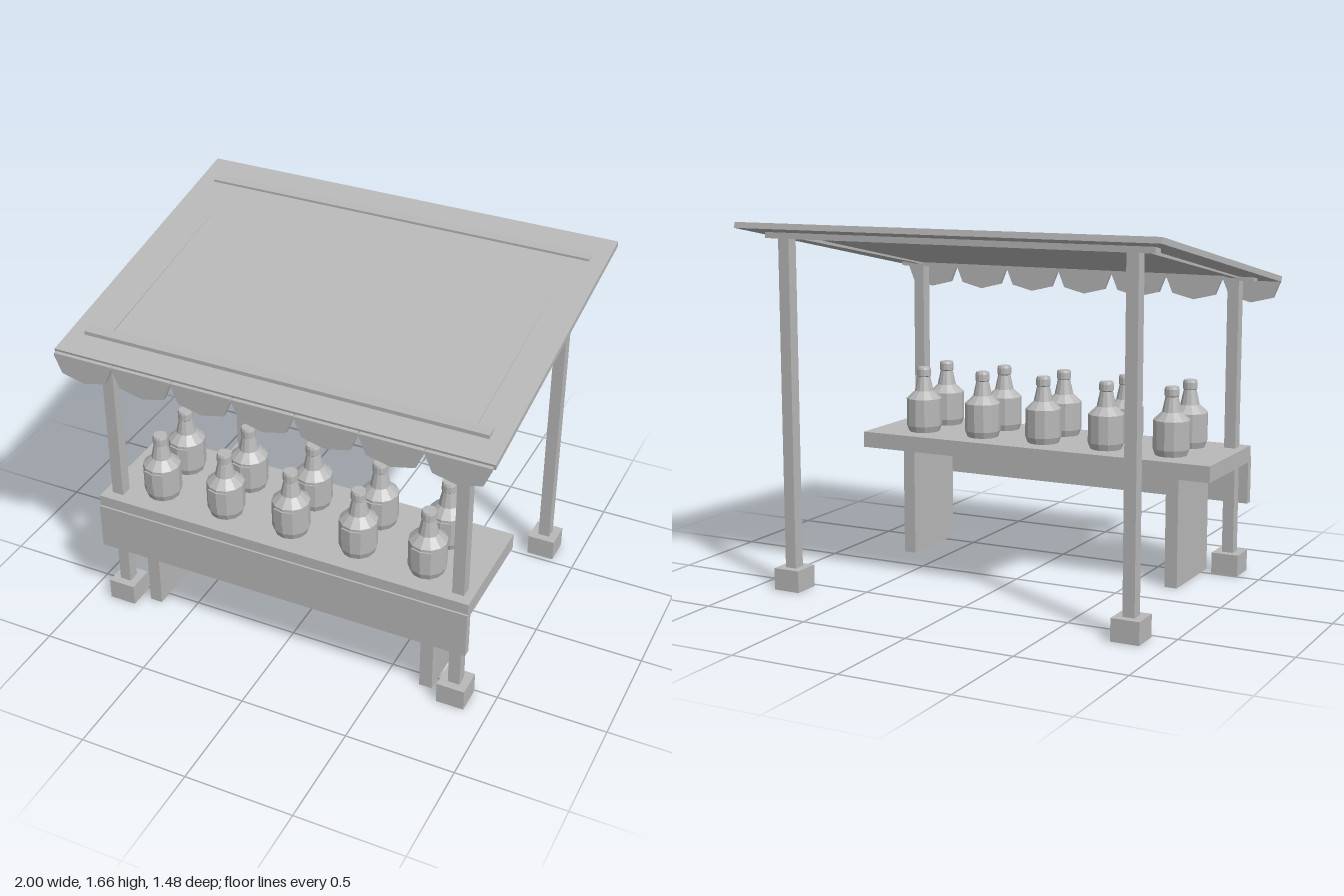
import * as THREE from 'three';

export function createModel() {
  const model = new THREE.Group();
  model.name = 'marketStall';
  const grey = new THREE.MeshStandardMaterial({ color: 0xb8b8b8 });
  grey.name = 'plain grey';
  grey.flatShading = true;

  const add = (name, geometry, parent = model) => {
    const mesh = new THREE.Mesh(geometry, grey);
    mesh.name = name;
    parent.add(mesh);
    return mesh;
  };
  // Box given by its lower and upper limits on each axis
  const box = (name, [x0, x1], [y0, y1], [z0, z1]) => {
    const mesh = add(name, new THREE.BoxGeometry(x1 - x0, y1 - y0, z1 - z0));
    mesh.position.set((x0 + x1) / 2, (y0 + y1) / 2, (z0 + z1) / 2);
    return mesh;
  };

  // Sloping roof panel, low at the front
  const roof = add('roof', new THREE.BoxGeometry(2, 0.026, 1.48));
  roof.position.set(0, 1.509, -0.008);
  roof.rotation.x = 0.185;

  // Posts, feet and cross beams
  const frames = [
    { name: 'front', z: 0.571, y: 1.4 },
    { name: 'back', z: -0.588, y: 1.61 },
  ];
  for (const { name, z, y } of frames) {
    for (const side of [-1, 1]) {
      const x = side * 0.829;
      box(name + 'Post', [x - 0.027, x + 0.027], [0.05, y], [z - 0.028, z + 0.028]);
      box(name + 'Foot', [x - 0.064, x + 0.064], [0, 0.1], [z - 0.065, z + 0.065]);
    }
    box(name + 'Beam', [-0.925, 0.925], [y - 0.027, y + 0.026], [z - 0.028, z + 0.028]);
  }

  // Side rails between the beams
  const [front, back] = frames;
  const run = front.z - back.z, rise = back.y - front.y;
  for (const side of [-1, 1]) {
    const rail = add('sideRail', new THREE.BoxGeometry(0.04, 0.04, Math.hypot(run, rise)));
    rail.position.set(side * 0.834, (front.y + back.y) / 2, (front.z + back.z) / 2);
    rail.rotation.x = Math.atan2(rise, run);
  }

  // Scalloped valance along the front edge
  const scallop = new THREE.Shape([
    [-0.14, 1.375], [-0.14, 1.363], [-0.107, 1.284], [0, 1.258],
    [0.107, 1.284], [0.14, 1.363], [0.14, 1.375],
  ].map(([x, y]) => new THREE.Vector2(x, y)));
  const scallopGeometry = new THREE.ExtrudeGeometry(scallop, { depth: 0.02, bevelEnabled: false });
  for (let i = -3; i <= 3; i++) {
    add('valanceScallop', scallopGeometry).position.set(i * 0.2845, 0, 0.718);
  }

  // Counter
  box('counterTop', [-0.895, 0.895], [0.522, 0.597], [0.114, 0.647]);
  box('counterApron', [-0.895, 0.895], [0.325, 0.545], [0.617, 0.656]);
  for (const side of [-1, 1]) {
    const x = side * 0.687;
    box('counterLeg', [x - 0.03, x + 0.03], [0, 0.522], [0.193, 0.57]);
  }

  // Two rows of bottles with raised labels
  const profile = [
    [0, 0.598], [0.074, 0.598], [0.085, 0.628], [0.085, 0.76], [0.045, 0.797],
    [0.03, 0.866], [0.034, 0.87], [0.034, 0.9], [0.03, 0.911], [0, 0.911],
  ].map(([r, y]) => new THREE.Vector2(r, y));
  const bottleGeometry = new THREE.LatheGeometry(profile, 12);
  const labelGeometry = new THREE.CylinderGeometry(
    0.092, 0.092, 0.075, 2, 1, false, -Math.PI / 6, Math.PI / 3);
  for (const z of [0.498, 0.275]) {
    for (let i = -2; i <= 2; i++) {
      const bottle = new THREE.Group();
      bottle.name = 'bottle';
      add('bottleBody', bottleGeometry, bottle);
      add('bottleLabel', labelGeometry, bottle).position.y = 0.711;
      bottle.position.set(i * 0.3235, 0, z);
      model.add(bottle);
    }
  }
  return model;
}
